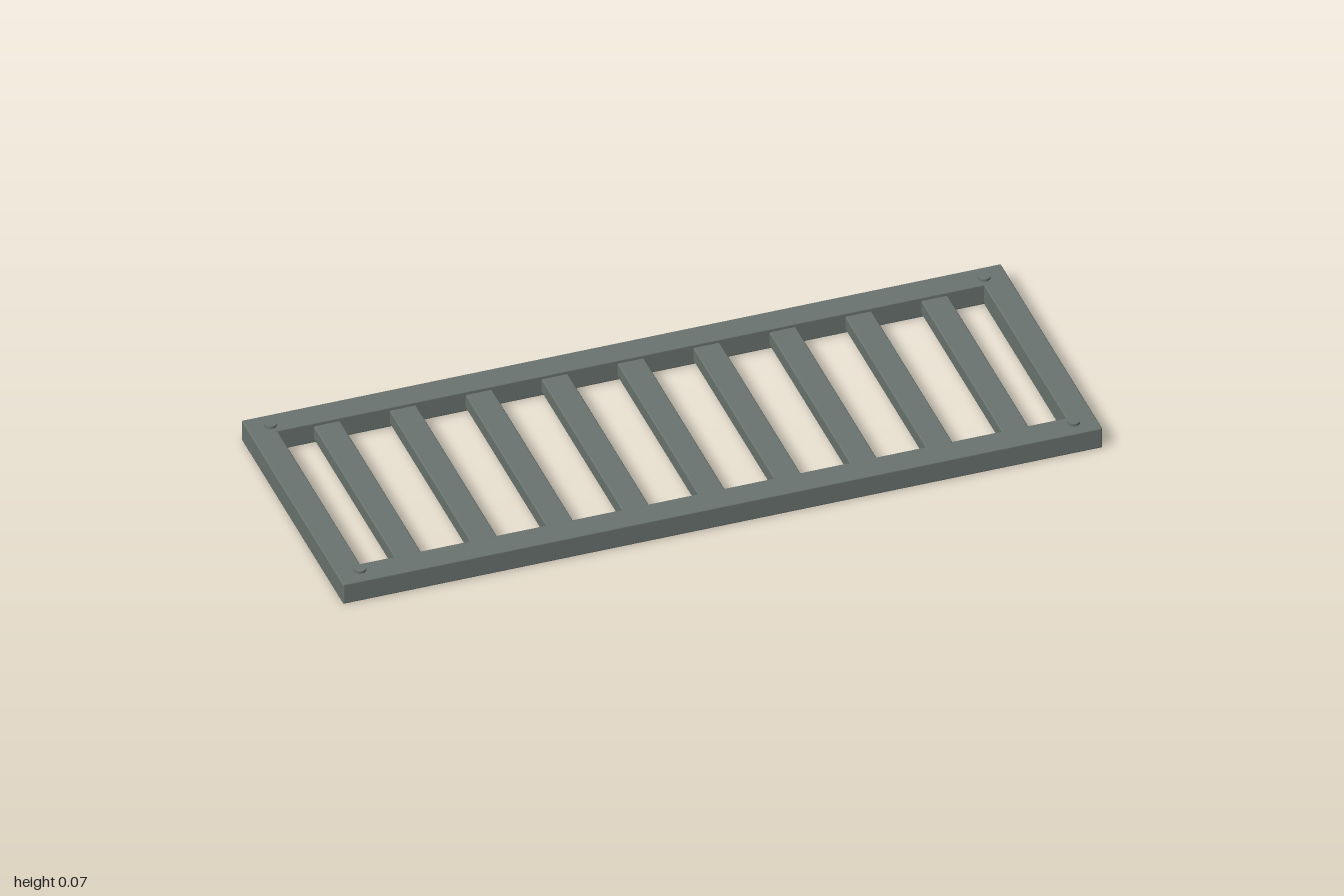
import * as THREE from 'three';
import { RoundedBoxGeometry } from 'three/addons/geometries/RoundedBoxGeometry.js';

export function createModel() {
  const model = new THREE.Group();
  model.name = 'slattedFrame';

  const steel = new THREE.MeshStandardMaterial({ color: 0x6a746f });
  steel.name = 'greyGreenSteel';

  function add(name, geometry, x, y, z) {
    const mesh = new THREE.Mesh(geometry, steel);
    mesh.name = name;
    mesh.position.set(x, y, z);
    model.add(mesh);
  }

  const beam = (w, h, d) => new RoundedBoxGeometry(w, h, d, 2, 0.004);

  // Long rails, front and back
  const rail = beam(2, 0.06, 0.072);
  add('frontRail', rail, 0, 0.03, 0.339);
  add('backRail', rail, 0, 0.03, -0.339);

  // End bars between the rails
  const endBar = beam(0.07, 0.06, 0.61);
  add('leftEndBar', endBar, 0.965, 0.03, 0);
  add('rightEndBar', endBar, -0.965, 0.03, 0);

  // Slats, thinner than the frame
  const slat = beam(0.07, 0.04, 0.62);
  for (let i = -4; i <= 4; i++) add('slat', slat, i * 0.2, 0.03, 0);

  // Bolt heads at the four corners
  const bolt = new THREE.CylinderGeometry(0.016, 0.016, 0.012, 16);
  for (const x of [-0.94, 0.94]) {
    for (const z of [-0.33, 0.33]) add('boltHead', bolt, x, 0.061, z);
  }

  return model;
}
